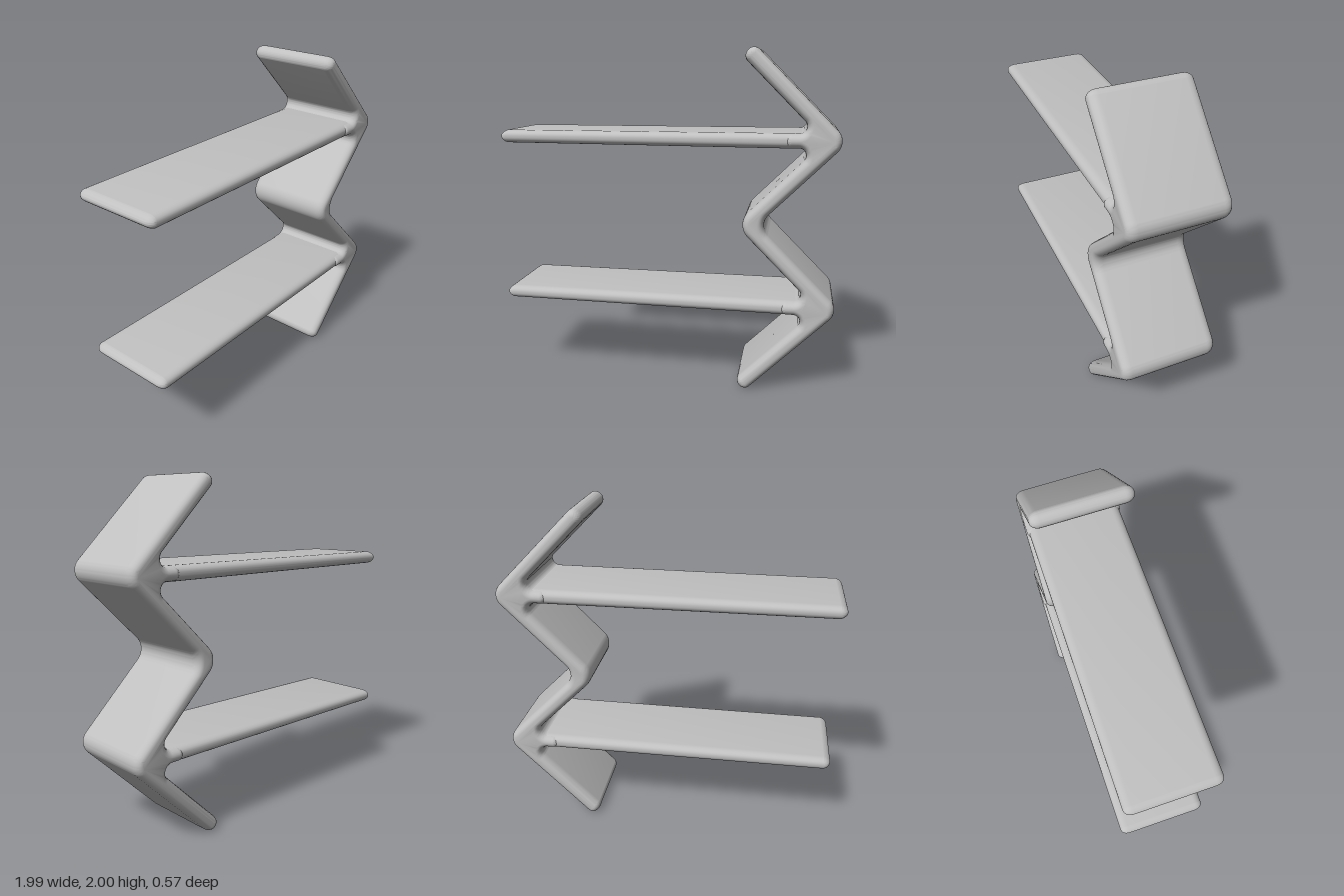
import * as THREE from 'three';
import { toCreasedNormals } from 'three/addons/utils/BufferGeometryUtils.js';

// Closed outline from corners [x, y, radius], each corner rounded by an arc
function roundedOutline(corners) {
  const shape = new THREE.Shape();
  const n = corners.length;
  corners.forEach(([x, y, r], i) => {
    const [px, py] = corners[(i + n - 1) % n];
    const [qx, qy] = corners[(i + 1) % n];
    const p = new THREE.Vector2(x, y);
    const d1 = new THREE.Vector2(px - x, py - y).normalize();
    const d2 = new THREE.Vector2(qx - x, qy - y).normalize();
    const u = d1.clone().add(d2).normalize();
    const half = Math.acos(d1.dot(u));
    const t = r / Math.tan(half);
    const c = p.clone().addScaledVector(u, r / Math.sin(half));
    const a = p.clone().addScaledVector(d1, t).sub(c).angle();
    const b = p.clone().addScaledVector(d2, t).sub(c).angle();
    shape.absarc(c.x, c.y, r, a, b, d1.cross(d2) > 0);
  });
  return shape;
}

// Extrude along z, centred, with a soft rounded rim
function softExtrude(corners, halfWidth, rim, rimDepth) {
  const depth = 2 * (halfWidth - rimDepth);
  const g = new THREE.ExtrudeGeometry(roundedOutline(corners), {
    depth, curveSegments: 8, bevelEnabled: true,
    bevelSize: rim, bevelThickness: rimDepth, bevelSegments: 6,
  });
  return g.translate(0, 0, -depth / 2);
}

export function createModel() {
  const group = new THREE.Group();
  const grey = new THREE.MeshStandardMaterial({ color: 0xc0c0c0 });
  grey.name = 'plain grey';

  const add = (name, geometry) => {
    const mesh = new THREE.Mesh(toCreasedNormals(geometry, 0.8), grey);
    mesh.name = name;
    group.add(mesh);
  };

  const k = 0.0113;              // core thickness of the folded strip
  const low = 0.52, high = 1.49; // heights of the two folds and shelves
  const apex = 0.965;

  // Fillet, short stub and fillet where a shelf meets the inside of a fold
  const joint = (y) => [
    [apex - k - 0.002, y + 0.002, 0.079],
    [0.72, y + 0.002, 0.0015],
    [0.72, y - 0.002, 0.0015],
    [apex - k - 0.002, y - 0.002, 0.079],
  ];

  // Folded zigzag strip
  add('zigzagStrip', softExtrude([
    [0.491, 0.046 - k, 0.006],
    [apex + k, low, 0.047],
    [0.48 + k, 1.005, 0.123],
    [apex + k, high, 0.047],
    [0.501, 1.954 + k, 0.006],
    [0.501 - k, 1.954, 0.006],
    ...joint(high),
    [0.48 - k, 1.005, 0.065],
    ...joint(low),
    [0.491 - k, 0.046, 0.006],
  ], 0.285, 0.038, 0.055));

  // Two long flat shelves with thinned tips
  for (const [name, y] of [['lowerShelf', low], ['upperShelf', high]]) {
    const g = softExtrude([
      [-0.963, -0.006, 0.005],
      [0.92, -0.006, 0.005],
      [0.92, 0.006, 0.005],
      [-0.963, 0.006, 0.005],
    ], 0.274, 0.037, 0.05);
    const pos = g.attributes.position;
    for (let i = 0; i < pos.count; i++) {
      const s = Math.max(0, (-0.9 - pos.getX(i)) / 0.1);
      pos.setY(i, pos.getY(i) * (1 - 0.35 * s * s));
    }
    add(name, g.translate(0, y, 0));
  }

  return group;
}
